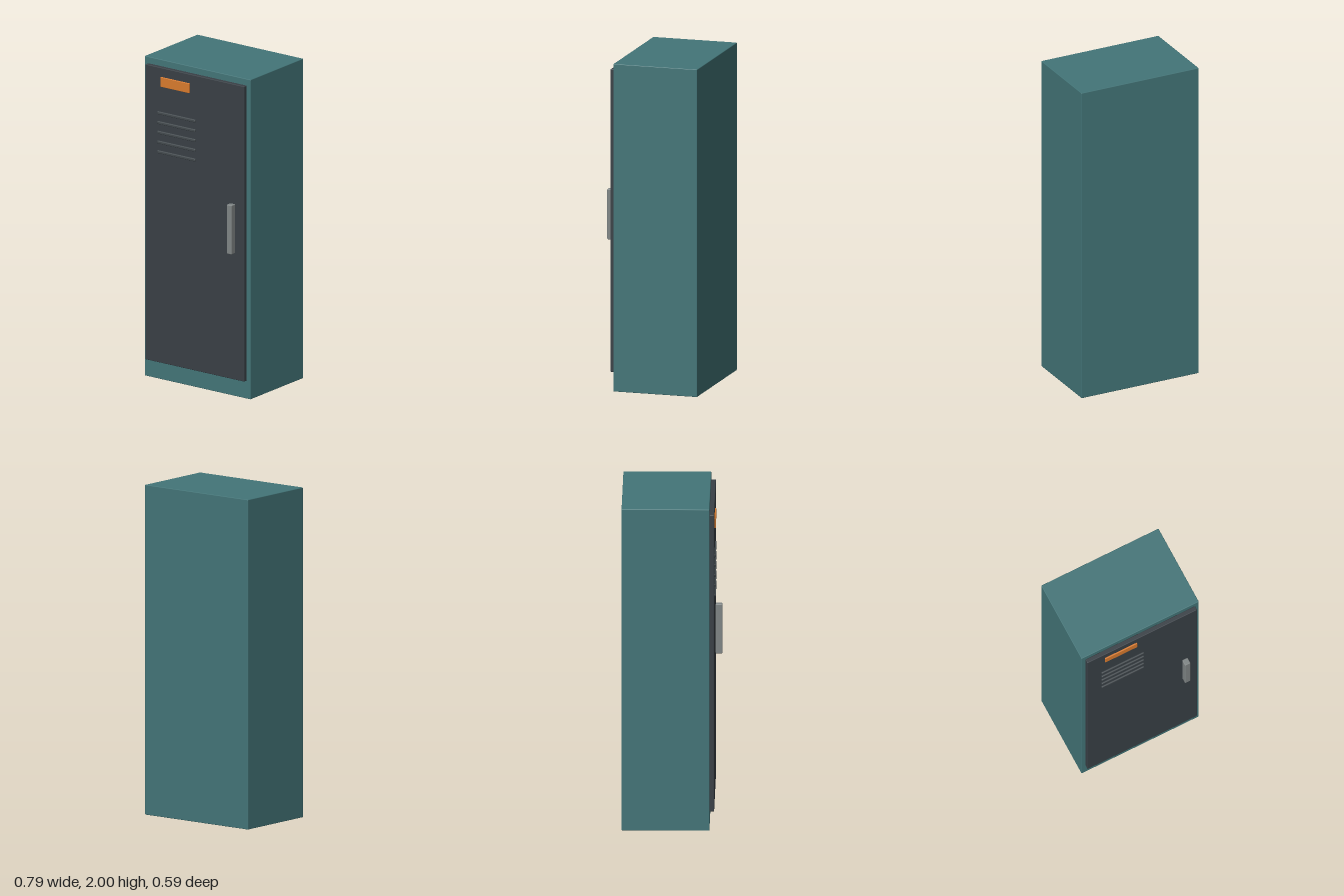
import * as THREE from 'three';
import { RoundedBoxGeometry } from 'three/addons/geometries/RoundedBoxGeometry.js';

const paint = (color) => new THREE.MeshStandardMaterial({ color });

// Rounded box given by its extents along each axis
function block(name, [x0, x1], [y0, y1], [z0, z1], radius, material) {
  const geometry = new RoundedBoxGeometry(x1 - x0, y1 - y0, z1 - z0, 2, radius);
  const mesh = new THREE.Mesh(geometry, material);
  mesh.name = name;
  mesh.position.set((x0 + x1) / 2, (y0 + y1) / 2, (z0 + z1) / 2);
  return mesh;
}

export function createModel() {
  const locker = new THREE.Group();
  locker.name = 'locker';

  const teal = paint(0x437578);
  const charcoal = paint(0x394046);
  const ventGrey = paint(0x434a4e);
  const steel = paint(0x808686);
  const orange = paint(0xd97b2e);

  // Cabinet and raised door
  locker.add(block('cabinet', [-0.394, 0.394], [0, 2], [-0.296, 0.228], 0.004, teal));
  locker.add(block('door', [-0.368, 0.368], [0.113, 1.96], [0.228, 0.256], 0.004, charcoal));

  // Label plate near the top of the door
  locker.add(block('labelPlate', [-0.252, -0.037], [1.842, 1.903], [0.252, 0.264], 0.003, orange));

  // Five horizontal vent slats
  const vents = new THREE.Group();
  vents.name = 'vents';
  for (let i = 0; i < 5; i++) {
    const y = 1.676 - i * 0.061;
    vents.add(block('ventSlat', [-0.276, 0.009], [y - 0.009, y + 0.009], [0.253, 0.265], 0.005, ventGrey));
  }
  locker.add(vents);

  // Upright pull handle
  locker.add(block('handle', [0.266, 0.303], [0.905, 1.213], [0.256, 0.296], 0.005, steel));

  return locker;
}
